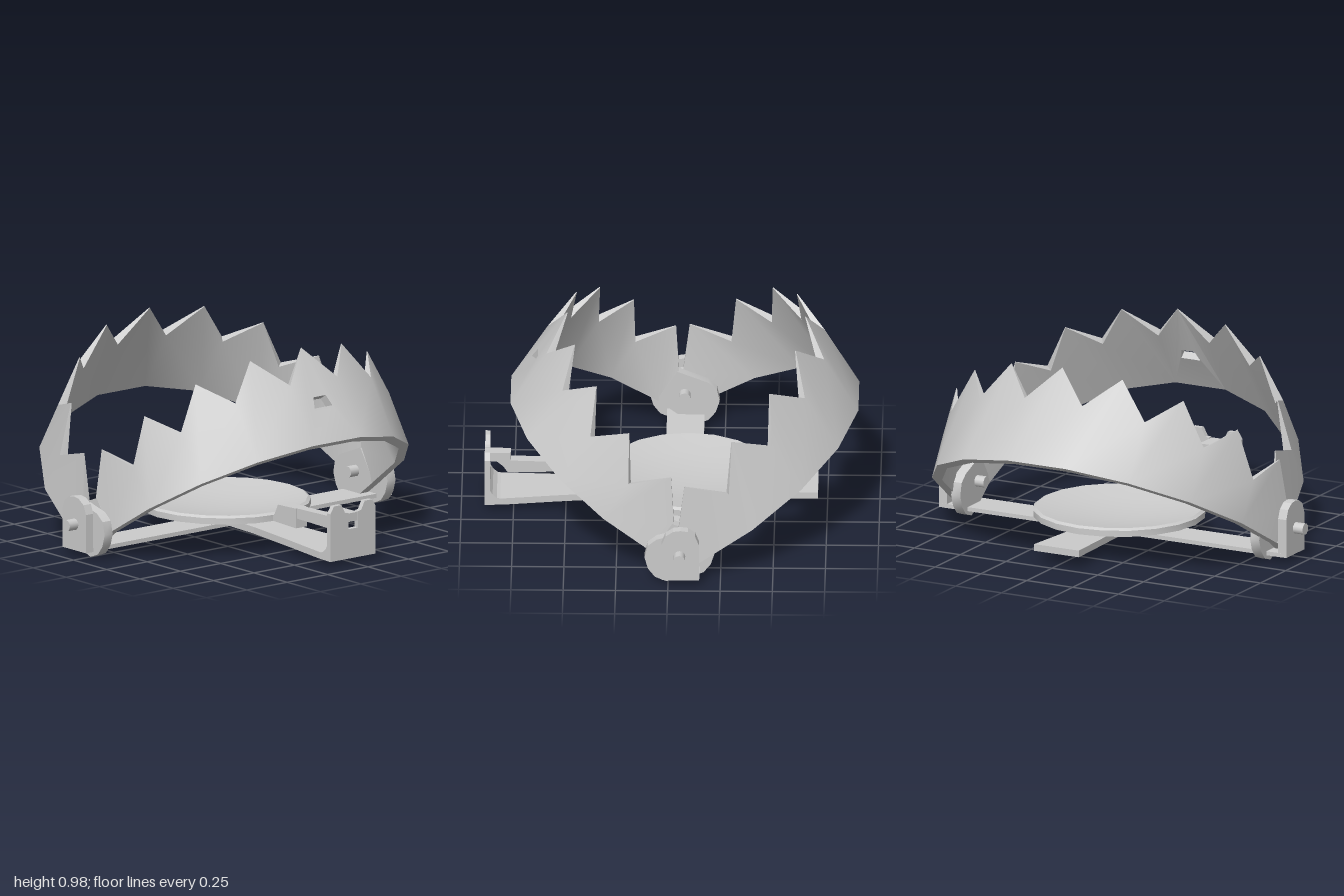
import * as THREE from 'three';
import { mergeGeometries, toCreasedNormals } from 'three/addons/utils/BufferGeometryUtils.js';

const material = new THREE.MeshStandardMaterial({ color: 0xcccccc, side: THREE.DoubleSide });
const PIVOT_Y = 0.165, PIVOT_Z = -0.055;
const STEP = THREE.MathUtils.degToRad(20);

function add(parent, name, geometry) {
  const mesh = new THREE.Mesh(geometry, material);
  mesh.name = name;
  parent.add(mesh);
  return mesh;
}

function box(w, h, d, x, y, z) {
  return new THREE.BoxGeometry(w, h, d).translate(x, y, z);
}

function shapeOf(points) {
  return new THREE.Shape(points.map(([x, y]) => new THREE.Vector2(x, y)));
}

function extrude(shape, depth) {
  return new THREE.ExtrudeGeometry(shape, { depth, bevelEnabled: false });
}

// Plate lying in the (z, y) plane, centred at x
function sidePlate(points, thickness, x) {
  return extrude(shapeOf(points), thickness).rotateY(-Math.PI / 2).translate(x + thickness / 2, 0, 0);
}

// Half-ring jaw: nine toothed facets, each thinning from the lower edge to the tip
function jawGeometry(radius, offset, withSlot) {
  const valleys = [0.08, 0.12, 0.172, 0.21, 0.217, 0.217, 0.21, 0.172, 0.12, 0.08];
  const bottom = -0.1, toothHeight = 0.175, thick = 0.05;
  const half = radius * Math.sin(STEP / 2), apothem = radius * Math.cos(STEP / 2);
  const parts = [];
  for (let i = 0; i < 9; i++) {
    const a = valleys[i], b = valleys[i + 1];
    const shape = shapeOf([[-half, bottom], [half, bottom], [half, b], [0, (a + b) / 2 + toothHeight], [-half, a]]);
    if (withSlot && i === 4) {
      shape.holes.push(shapeOf([[-0.055, 0.082], [-0.038, 0.138], [0.038, 0.138], [0.055, 0.082]]));
    }
    const g = extrude(shape, 1);
    const p = g.attributes.position;
    for (let k = 0; k < p.count; k++) {
      const s = p.getX(k), v = p.getY(k);
      const base = THREE.MathUtils.lerp(a, b, (s / half + 1) / 2);
      const rise = Math.max(0, (v - base) / toothHeight);
      const low = THREE.MathUtils.clamp((v - bottom) / (base - bottom), 0, 1);
      const t = (1 - p.getZ(k)) * (thick - 0.01 * low - 0.036 * rise);
      p.setXYZ(k, s * (1 - t / apothem), v, apothem - t);
    }
    parts.push(g.rotateY((i - 4) * STEP).translate(0, 0, offset));
  }
  // Rounded ears around the hinge pins
  const ear = [[offset + 0.01, -0.1], [offset + 0.01, 0.08], [-0.06, 0.112], [-0.115, 0.105], [-0.16, 0.06],
    [-0.176, 0], [-0.17, -0.054], [-0.134, -0.102], [-0.09, -0.112]];
  for (const side of [-1, 1]) parts.push(sidePlate(ear, thick, side * (radius - thick / 2)));
  for (const g of parts) g.deleteAttribute('uv');
  return toCreasedNormals(mergeGeometries(parts), 0.6);
}

export function createModel() {
  const model = new THREE.Group();
  model.name = 'jawTrap';

  // Jaws, opened about the hinge axis
  const front = add(model, 'frontJaw', jawGeometry(0.84, 0.085, true));
  front.position.set(0, PIVOT_Y, PIVOT_Z);
  front.rotation.set(THREE.MathUtils.degToRad(-33), 0, 0);
  const back = add(model, 'backJaw', jawGeometry(0.9, 0.038, false));
  back.position.set(0, PIVOT_Y, PIVOT_Z);
  back.rotation.set(THREE.MathUtils.degToRad(31), Math.PI, 0);

  // Cross bar with upright hinge brackets and pins
  add(model, 'crossBar', box(1.86, 0.02, 0.18, 0, 0.047, -0.06));
  const bracket = [[0.03, 0.037], [0.03, 0.225], [0.012, 0.27], [-0.025, 0.295], [-0.06, 0.3],
    [-0.095, 0.295], [-0.13, 0.27], [-0.148, 0.225], [-0.148, 0.037]];
  for (const side of [-1, 1]) {
    add(model, 'hingeBracket', sidePlate(bracket, 0.045, side * 0.925));
    const pin = toCreasedNormals(new THREE.CylinderGeometry(0.028, 0.028, 0.26, 12), 0.7);
    add(model, 'hingePin', pin.rotateZ(Math.PI / 2).translate(side * 0.87, PIVOT_Y, PIVOT_Z));
  }

  // Long bar: waisted in plan and slightly tilted
  const halfPlan = [[0.122, -0.705], [0.09, -0.2], [0.09, 0.25], [0.115, 0.55], [0.14, 0.8], [0.14, 0.888]];
  const plan = [...halfPlan, ...halfPlan.map(([x, z]) => [-x, z]).reverse()];
  const bar = extrude(shapeOf(plan), 0.033).rotateX(Math.PI / 2);
  const bp = bar.attributes.position;
  for (let i = 0; i < bp.count; i++) bp.setY(i, bp.getY(i) + 0.083 - 0.0225 * bp.getZ(i));
  bar.computeVertexNormals();
  add(model, 'longBar', bar);

  // Notched catch plate at the front
  const halfCatch = [[0.14, 0.03], [0.14, 0.265], [0.118, 0.3], [0.072, 0.3], [0.05, 0.258],
    [0.03, 0.255], [0.03, 0.175]];
  const catchShape = shapeOf([...halfCatch, ...halfCatch.map(([x, y]) => [-x, y]).reverse()]);
  add(model, 'catchPlate', extrude(catchShape, 0.025).translate(0, 0, 0.863));
  const fillet = [[0.865, 0.055], [0.865, 0.11], [0.85, 0.085], [0.83, 0.068], [0.79, 0.06]];
  add(model, 'catchFillet', sidePlate(fillet, 0.28, 0));

  // Trigger arm hooking into the notch, widening at the pan
  const arm = [[0.888, 0.21], [0.888, 0.252], [0.765, 0.252], [0.765, 0.212], [0.5, 0.205],
    [0.5, 0.155], [0.78, 0.15], [0.8, 0.18], [0.83, 0.205]];
  add(model, 'triggerArm', sidePlate(arm, 0.056, 0));
  const hub = [[0.5, 0.108], [0.5, 0.205], [0.365, 0.2], [0.34, 0.15], [0.3, 0.115]];
  add(model, 'armSocket', sidePlate(hub, 0.07, 0));

  // Dished pressure pan
  const profile = [[0, 0.085], [0.25, 0.093], [0.39, 0.107], [0.415, 0.113], [0.415, 0.143], [0.4, 0.153],
    [0.38, 0.15], [0.26, 0.127], [0.13, 0.114], [0, 0.11]].map(([r, y]) => new THREE.Vector2(r, y));
  add(model, 'pan', toCreasedNormals(new THREE.LatheGeometry(profile, 20), 0.45).translate(0, 0, -0.08));

  return model;
}
